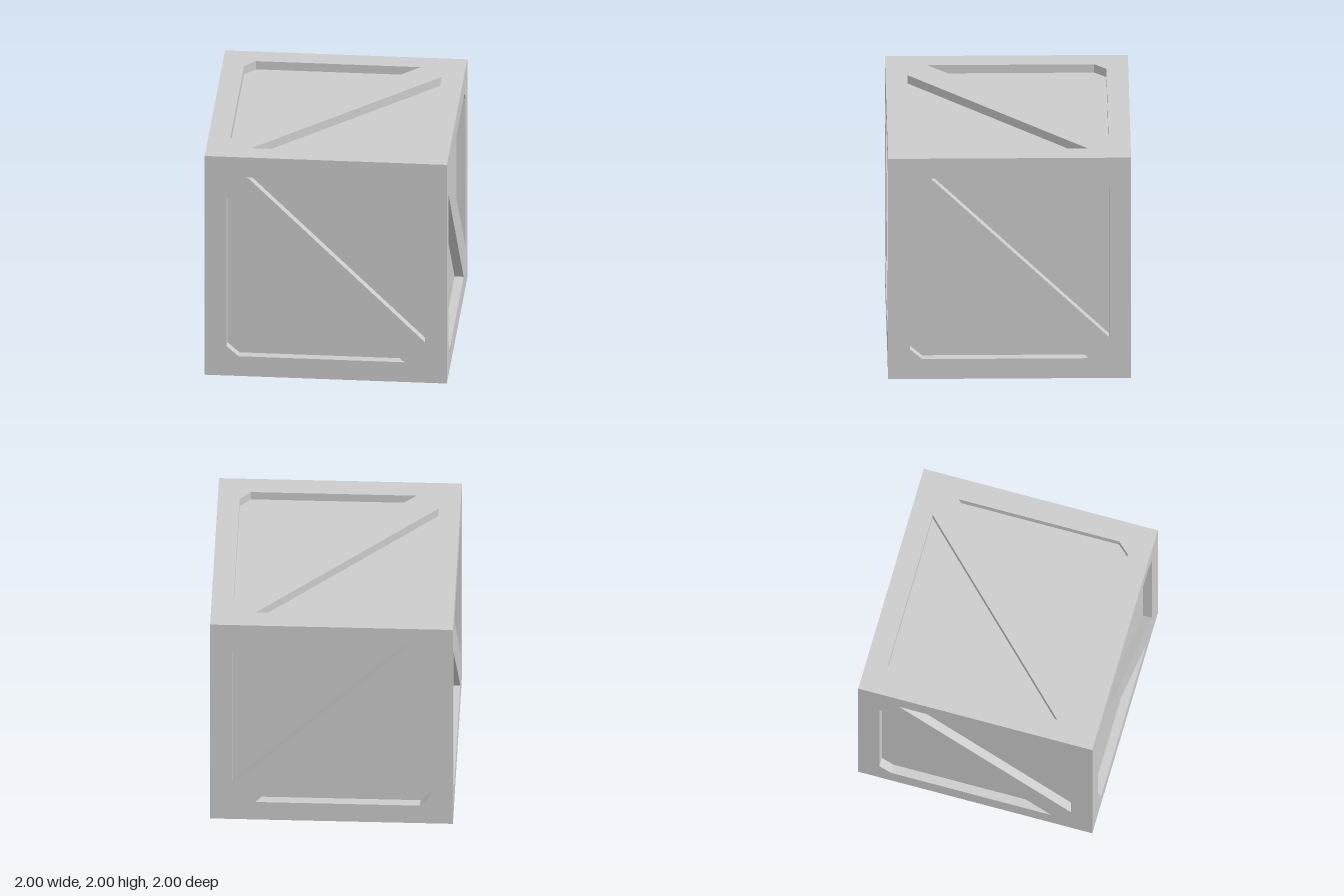
import * as THREE from 'three';

const DEPTH = 0.075;

// Corner outline of one recessed panel (clockwise); the other is its half turn
const upper = [[-0.65, 0.82], [0.72, 0.82], [0.82, 0.73], [0.82, -0.63]];
const lower = upper.map(([x, y]) => [-x, -y]);
const toPoints = (panel) => panel.map(([x, y]) => new THREE.Vector2(x, y));

// Inward-facing walls around a panel recess
function wallGeometry(panel) {
  const positions = [];
  panel.forEach((a, i) => {
    const b = panel[(i + 1) % panel.length];
    const a0 = [...a, 0], b0 = [...b, 0], a1 = [...a, -DEPTH], b1 = [...b, -DEPTH];
    positions.push(...a0, ...b1, ...b0, ...a0, ...a1, ...b1);
  });
  const geometry = new THREE.BufferGeometry();
  geometry.setAttribute('position', new THREE.Float32BufferAttribute(positions, 3));
  geometry.computeVertexNormals();
  return geometry;
}

export function createModel() {
  const crate = new THREE.Group();
  crate.name = 'crate';
  const material = new THREE.MeshStandardMaterial({ color: 0xcccccc, flatShading: true });

  // Square frame with a diagonal brace left between two holes
  const frameShape = new THREE.Shape(toPoints([[-1, -1], [1, -1], [1, 1], [-1, 1]]));
  frameShape.holes = [upper, lower].map((p) => new THREE.Path(toPoints(p)));
  const frameGeometry = new THREE.ShapeGeometry(frameShape);
  const panels = [upper, lower].map((p) => ({
    wall: wallGeometry(p),
    floor: new THREE.ShapeGeometry(new THREE.Shape(toPoints(p))).translate(0, 0, -DEPTH),
  }));

  function addMesh(parent, geometry, name) {
    const mesh = new THREE.Mesh(geometry, material);
    mesh.name = name;
    parent.add(mesh);
  }

  // Each side: name, turn about x, turn about y, roll of the brace
  const q = Math.PI / 2;
  const sides = [
    ['front', 0, 0, 0],
    ['left', 0, q, 0],
    ['right', 0, -q, 0],
    ['back', 0, 2 * q, q],
    ['top', -q, 0, q],
    ['bottom', q, 0, q],
  ];
  for (const [name, rx, ry, roll] of sides) {
    const side = new THREE.Group();
    side.name = name + 'Side';
    side.rotation.set(rx, ry, roll);
    side.position.set(0, 0, 1).applyEuler(side.rotation);
    side.position.y += 1;
    addMesh(side, frameGeometry, 'bracedFrame');
    for (const { wall, floor } of panels) {
      addMesh(side, wall, 'recessWalls');
      addMesh(side, floor, 'recessedPanel');
    }
    crate.add(side);
  }
  return crate;
}
